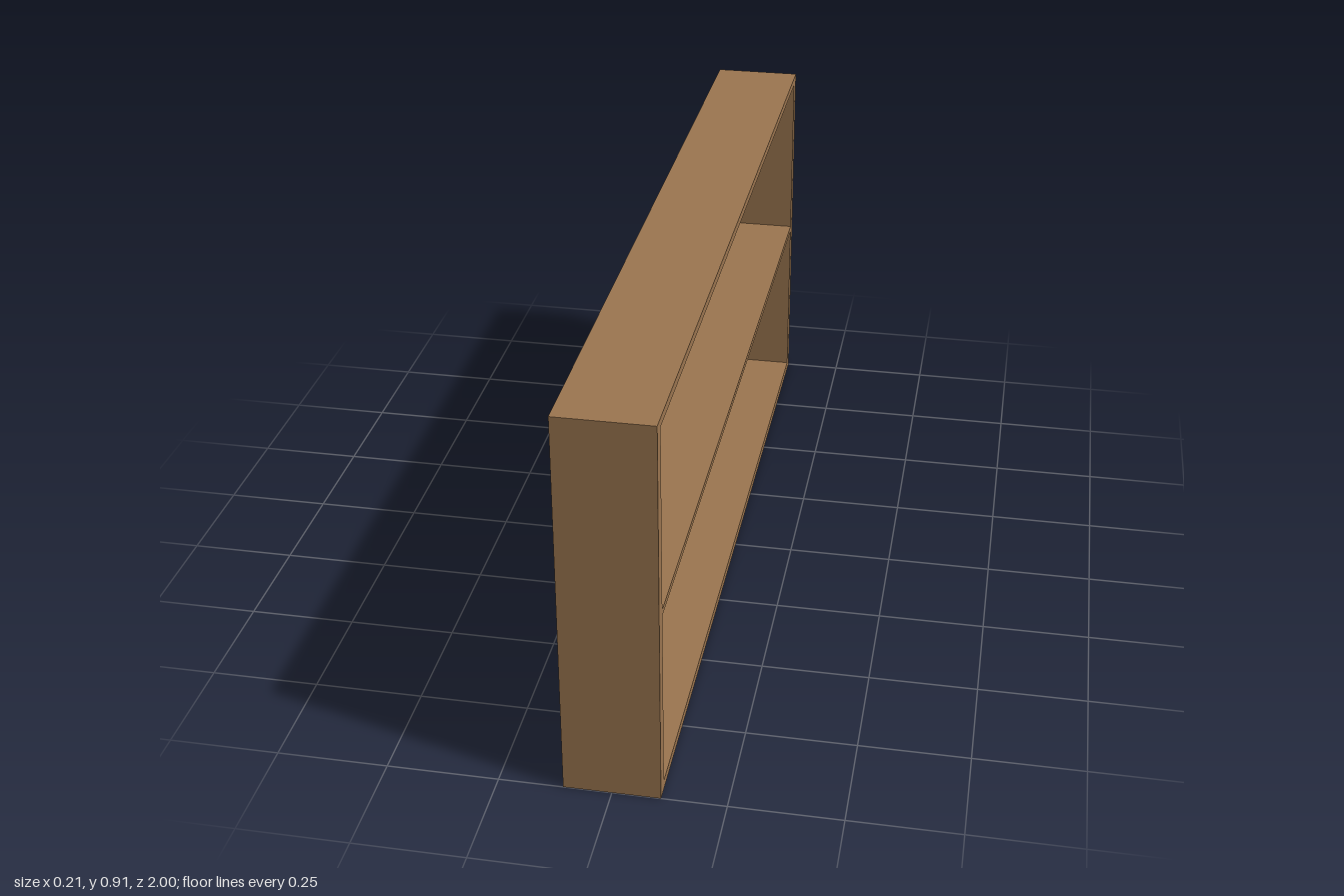
import * as THREE from 'three';

const DEPTH = 0.214, HEIGHT = 0.913, LENGTH = 2;
const INNER = 1.934;                                // compartment length
const BAYS = [[0.022, 0.45], [0.465, 0.893]];       // bottom and top of each compartment

// Box with only some of its sides: 0 +x, 1 -x, 2 +y, 3 -y, 4 +z, 5 -z
function openBox(width, height, length, sides) {
  const geometry = new THREE.BoxGeometry(width, height, length);
  const all = Array.from(geometry.index.array);
  geometry.setIndex(sides.flatMap((s) => all.slice(s * 6, s * 6 + 6)));
  geometry.clearGroups();
  return geometry;
}

function rectangle(path, w, y0, y1) {
  path.moveTo(-w / 2, y0);
  path.lineTo(w / 2, y0);
  path.lineTo(w / 2, y1);
  path.lineTo(-w / 2, y1);
  path.closePath();
  return path;
}

export function createModel() {
  const group = new THREE.Group();
  group.name = 'shelfUnit';
  const wood = new THREE.MeshStandardMaterial({ color: 0x9c7650, side: THREE.DoubleSide });
  wood.name = 'brown wood';

  function add(name, geometry, x = 0, y = 0) {
    const mesh = new THREE.Mesh(geometry, wood);
    mesh.name = name;
    mesh.position.set(x, y, 0);
    group.add(mesh);
  }

  // Outer casing: top, bottom and both ends; the hollow boards are open behind
  add('casing', openBox(DEPTH, HEIGHT, LENGTH, [2, 3, 4, 5]), 0, HEIGHT / 2);

  // Face frame around the compartment openings, facing +x
  const frame = rectangle(new THREE.Shape(), LENGTH, 0, HEIGHT);
  for (const [y0, y1] of BAYS) frame.holes.push(rectangle(new THREE.Path(), INNER, y0, y1));
  add('faceFrame', new THREE.ShapeGeometry(frame).rotateY(Math.PI / 2), DEPTH / 2);

  // Compartments: trays open towards +x, with their backs flush with the casing
  BAYS.forEach(([y0, y1], i) => {
    add(i ? 'upperCompartment' : 'lowerCompartment',
      openBox(DEPTH, y1 - y0, INNER, [1, 2, 3, 4, 5]), 0, (y0 + y1) / 2);
  });

  return group;
}
